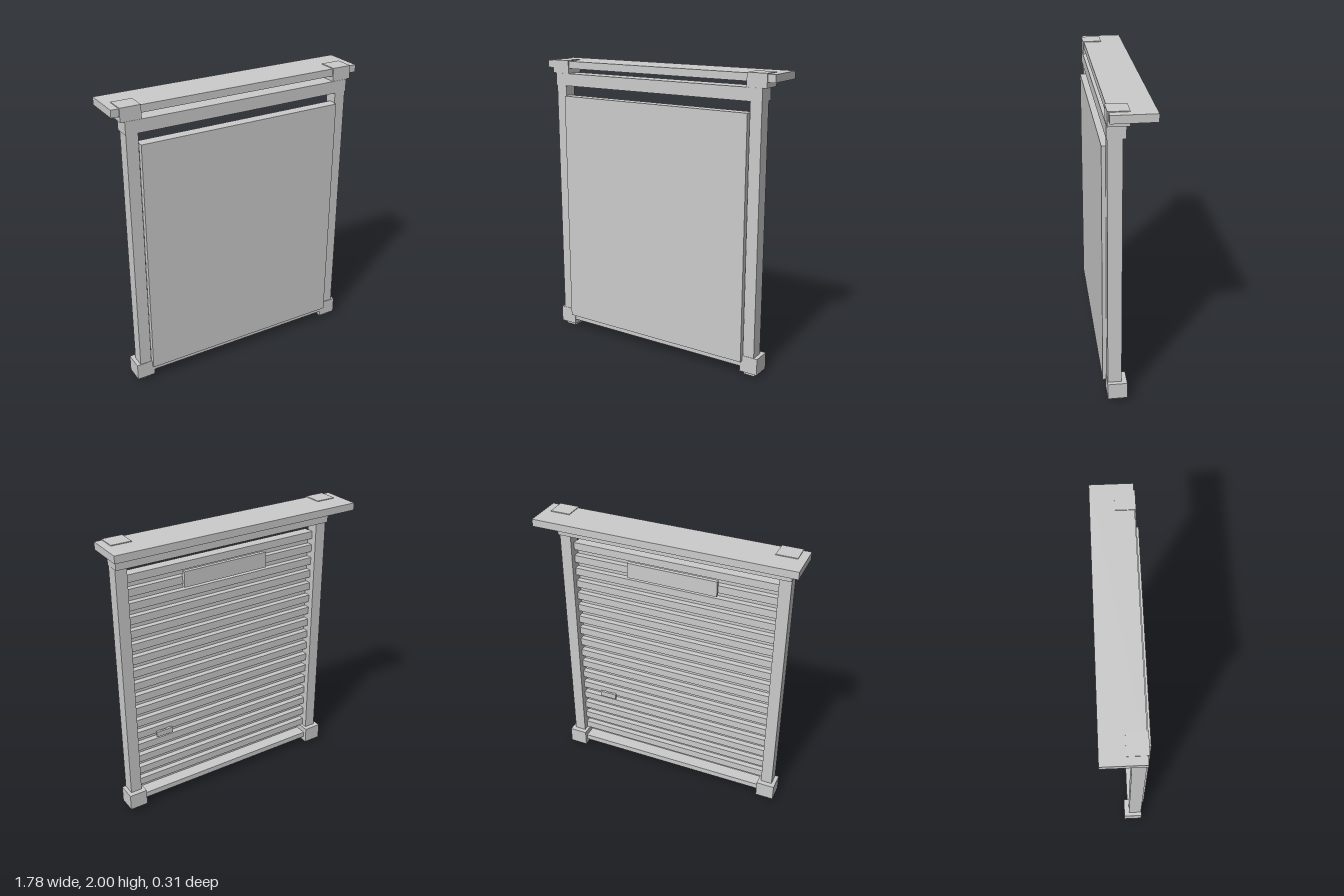
import * as THREE from 'three';

export function createModel() {
  const model = new THREE.Group();
  const material = new THREE.MeshStandardMaterial({ color: 0xcccccc, flatShading: true });

  // Box given by its extents along each axis
  function box(name, [x0, x1], [y0, y1], [z0, z1], parent = model) {
    const mesh = new THREE.Mesh(new THREE.BoxGeometry(x1 - x0, y1 - y0, z1 - z0), material);
    mesh.position.set((x0 + x1) / 2, (y0 + y1) / 2, (z0 + z1) / 2);
    mesh.name = name;
    parent.add(mesh);
    return mesh;
  }

  // Horizontal members
  box('roofSlab', [-0.89, 0.89], [1.945, 1.995], [-0.15, 0.125]);
  box('topBeam', [-0.81, 0.81], [1.825, 1.91], [0.02, 0.135]);
  box('bottomBeam', [-0.72, 0.72], [0.06, 0.1], [0.03, 0.13]);

  // Posts with their caps and feet, mirrored
  for (const side of [1, -1]) {
    const group = new THREE.Group();
    group.name = side > 0 ? 'leftPost' : 'rightPost';
    const span = (a, b) => (side > 0 ? [a, b] : [-b, -a]);
    box('post', span(0.727, 0.807), [0.14, 1.825], [0.04, 0.13], group);
    box('topCap', span(0.7, 0.838), [1.91, 2], [0.003, 0.133], group);
    box('footBlock', span(0.705, 0.833), [0.025, 0.14], [0.005, 0.133], group);
    box('foot', span(0.725, 0.808), [0, 0.025], [0.035, 0.11], group);
    model.add(group);
  }

  // Smooth front sheet, slightly proud of the posts
  box('frontPanel', [-0.722, 0.722], [0.1, 1.755], [0.12, 0.155]);

  // Raised horizontal slats across the back
  const slats = new THREE.Group();
  slats.name = 'backSlats';
  const count = 17;
  const pitch = 1.655 / count;
  for (let i = 0; i < count; i++) {
    const top = 1.755 - i * pitch;
    box('slat', [-0.727, 0.727], [top - 0.053, top], [0.08, 0.12], slats);
  }
  model.add(slats);

  // Plain plate and small handle on the back
  box('backPlate', [-0.32, 0.32], [1.585, 1.695], [0.058, 0.085]);
  const handle = new THREE.Group();
  handle.name = 'handle';
  box('grip', [0.45, 0.575], [0.515, 0.555], [0.055, 0.07], handle);
  for (const x of [0.465, 0.545]) {
    box('handleMount', [x, x + 0.015], [0.52, 0.55], [0.07, 0.125], handle);
  }
  model.add(handle);

  return model;
}
